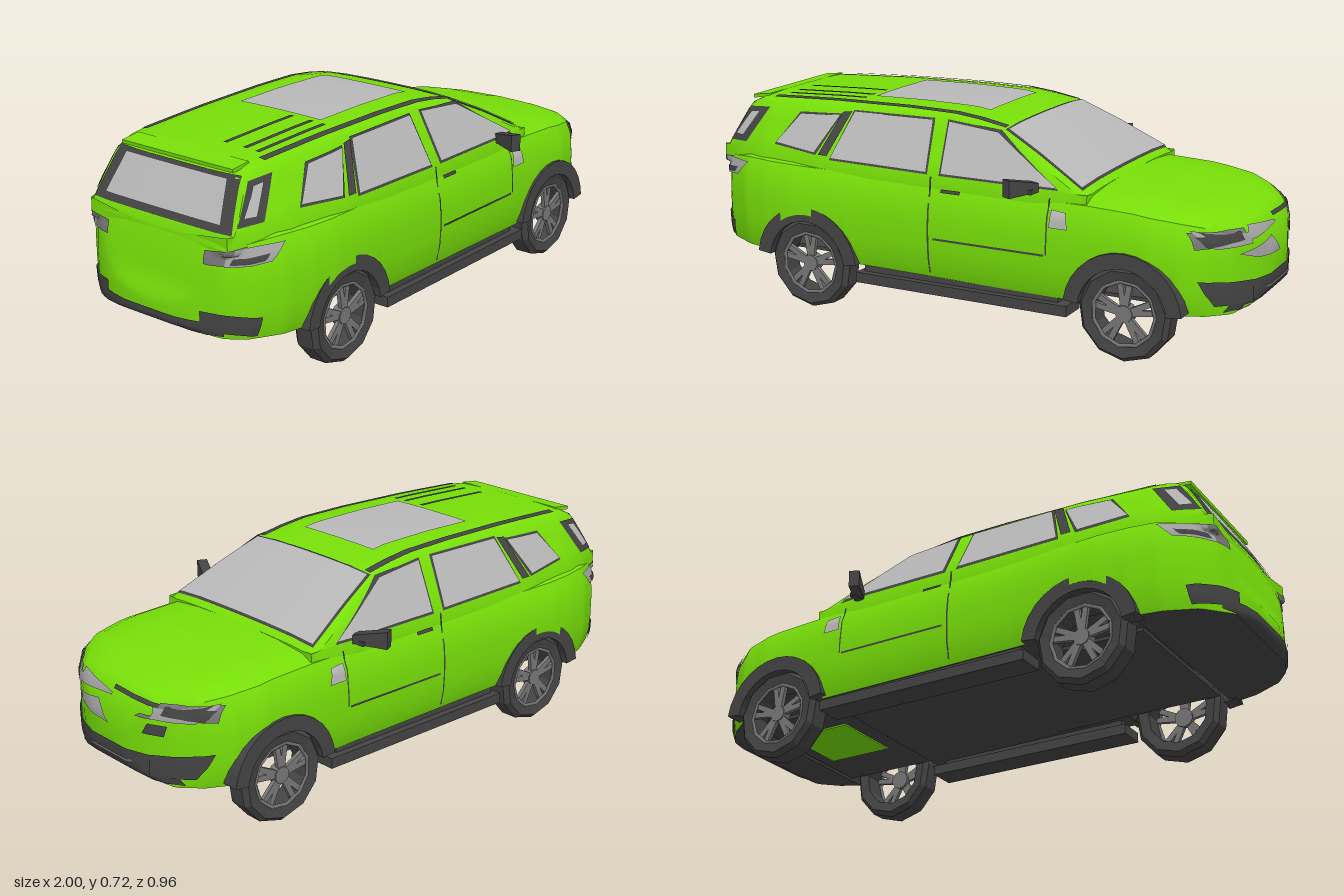
import * as THREE from 'three';
import { toCreasedNormals } from 'three/addons/utils/BufferGeometryUtils.js';

const mat = (name, color) => {
  const m = new THREE.MeshStandardMaterial({ color, side: THREE.DoubleSide });
  m.name = name;
  return m;
};

// Piecewise linear lookup in a list of [x, value]
function lookup(table, x) {
  if (x <= table[0][0]) return table[0][1];
  for (let i = 1; i < table.length; i++) {
    const [x0, v0] = table[i - 1], [x1, v1] = table[i];
    if (x <= x1) return v0 + (v1 - v0) * (x - x0) / (x1 - x0);
  }
  return table[table.length - 1][1];
}

const WHEELS = [-0.535, 0.63], AXLE = 0.163;
const WIDTH = [[-0.995, 0.1], [-0.98, 0.18], [-0.95, 0.265], [-0.9, 0.33], [-0.8, 0.382], [-0.7, 0.402], [-0.6, 0.41], [-0.3, 0.4],
  [0.4, 0.398], [0.7, 0.398], [0.8, 0.376], [0.87, 0.328], [0.93, 0.255], [0.97, 0.175], [0.995, 0.09]];
const TOP = [[-0.995, 0.29], [-0.975, 0.33], [-0.962, 0.45], [-0.945, 0.5], [-0.9, 0.525], [-0.8, 0.54], [0, 0.53], [0.5, 0.527],
  [0.65, 0.52], [0.8, 0.5], [0.88, 0.48], [0.95, 0.452], [0.975, 0.415], [0.995, 0.35]];
const BOTTOM = [[-0.995, 0.22], [-0.95, 0.195], [-0.8, 0.19], [-0.3, 0.185], [0.8, 0.175], [0.93, 0.168], [0.975, 0.19], [0.995, 0.23]];
const ROOF = [[-0.95, 0.5], [-0.845, 0.685], [-0.8, 0.703], [-0.5, 0.715], [-0.2, 0.721], [0, 0.718], [0.15, 0.695], [0.3, 0.625], [0.49, 0.525]];
const TAPER = [[-0.95, 0.76], [-0.85, 0.87], [-0.75, 0.94], [-0.5, 1], [0.3, 1], [0.49, 0.97]];

// Half sections as [z, y], from the top centre line down the side
function lowerSection(x) {
  const w = lookup(WIDTH, x), top = lookup(TOP, x), low = lookup(BOTTOM, x);
  let arch = 0;
  for (const c of WHEELS) {
    const d = Math.abs(x - c);
    if (d < 0.174) arch = AXLE + Math.sqrt(0.174 ** 2 - d * d);
  }
  return [[0, 1], [0.5, 0.985], [0.8, 0.95], [0.925, 0.89], [0.98, 0.76], [1, 0.52], [1, 0.3], [0.985, 0.12], [0.95, 0]]
    .map(([z, f]) => [z * w, Math.max(low + (top - low) * f, arch)]);
}
function cabinSection(x) {
  const top = lookup(ROOF, x), k = lookup(TAPER, x);
  const side = y => (0.375 - Math.max(y - 0.52, 0) * 0.5) * k;
  const edge = top - 0.022, z = side(edge);
  return [[0, top], [z * 0.45, top - 0.001], [z * 0.8, top - 0.005], [z * 0.95, top - 0.011],
    ...[0, 0.33, 0.67, 1].map(f => {
      const y = edge + (0.52 - edge) * f;
      return [side(y), y];
    }), [side(0.46), 0.46]];
}

// Lofted shell along x; its flat underside takes the second material
function loft(section, x0, x1, steps) {
  const pos = [], skin = [], floor = [];
  let n = 0;
  for (let i = -1; i <= steps + 1; i++) {
    const x = x0 + (x1 - x0) * Math.min(Math.max(i, 0), steps) / steps;
    const half = section(x);
    const ring = [...half, ...half.slice(1).reverse().map(([z, y]) => [-z, y])];
    n = ring.length;
    const cap = i < 0 || i > steps, mid = (half[0][1] + half[half.length - 1][1]) / 2;
    for (const [z, y] of ring) pos.push(x, cap ? mid : y, cap ? 0 : z);
  }
  for (let i = 0; i < steps + 2; i++) for (let j = 0; j < n; j++) {
    const a = i * n + j, b = i * n + (j + 1) % n;
    const under = j === (n - 1) / 2 && i > 0 && i <= steps;
    (under ? floor : skin).push(a, b, a + n, b, b + n, a + n);
  }
  const g = new THREE.BufferGeometry();
  g.setAttribute('position', new THREE.Float32BufferAttribute(pos, 3));
  g.setIndex([...skin, ...floor]);
  g.addGroup(0, skin.length, 0);
  g.addGroup(skin.length, floor.length, 1);
  return toCreasedNormals(g, 0.6);
}

export function createModel() {
  const car = new THREE.Group();
  const paint = mat('green paint', 0x77de08), glass = mat('grey glass', 0xb8b8b8);
  const trim = mat('dark trim', 0x444444), metal = mat('grey metal', 0x777777), lamp = mat('lamp lens', 0xa4a4a4);
  const add = (name, geo, m, parent = car) => {
    const mesh = new THREE.Mesh(geo, m);
    mesh.name = name;
    parent.add(mesh);
    return mesh;
  };
  const box = (name, m, size, at, parent) => {
    const b = add(name, new THREE.BoxGeometry(...size), m, parent);
    b.position.set(...at);
    return b;
  };

  const shells = [
    add('lowerBody', loft(lowerSection, -0.995, 0.995, 160), [paint, trim]),
    add('cabin', loft(cabinSection, -0.95, 0.49, 72), [paint, trim]),
  ];
  car.updateMatrixWorld(true);

  // Thin plate with four corners, laid onto the shell along an axis
  const ray = new THREE.Raycaster();
  function plate(name, m, axis, sign, corners, lift = 0.005) {
    const geo = new THREE.PlaneGeometry(1, 1, 10, 6), p = geo.attributes.position;
    const [a, b, c, d] = corners;
    let last = null;
    for (let i = 0; i < p.count; i++) {
      const u = p.getX(i) + 0.5, v = p.getY(i) + 0.5;
      const [s, t] = [0, 1].map(k => (a[k] * (1 - u) + b[k] * u) * (1 - v) + (d[k] * (1 - u) + c[k] * u) * v);
      const from = axis === 'z' ? [s, t, 3 * sign] : axis === 'x' ? [3 * sign, t, s] : [s, 3 * sign, t];
      const dir = new THREE.Vector3();
      dir[axis] = -sign;
      ray.set(new THREE.Vector3(...from), dir);
      const hit = ray.intersectObjects(shells)[0];
      if (hit) last = hit.point.clone().addScaledVector(hit.face.normal, lift);
      if (last) p.setXYZ(i, last.x, last.y, last.z);
    }
    geo.computeVertexNormals();
    // Keep the face pointing outwards
    if (geo.attributes.normal[{ x: 'getX', y: 'getY', z: 'getZ' }[axis]](38) * sign < 0) {
      const idx = geo.index.array;
      for (let i = 0; i < idx.length; i += 3) [idx[i], idx[i + 1]] = [idx[i + 1], idx[i]];
      geo.computeVertexNormals();
    }
    add(name, geo, m);
  }
  const rect = (x0, y0, x1, y1) => [[x0, y0], [x1, y0], [x1, y1], [x0, y1]];
  // Glass plate over a slightly larger dark seal
  function pane(name, axis, sign, corners) {
    const mid = [0, 1].map(k => corners.reduce((sum, c) => sum + c[k] / 4, 0));
    const wide = corners.map(c => c.map((v, k) => v + 0.006 * Math.sign(v - mid[k])));
    plate(name + 'Seal', trim, axis, sign, wide, 0.003);
    plate(name, glass, axis, sign, corners, 0.007);
  }

  // Windscreen, rear window and roof
  pane('windscreen', 'y', 1, [[0.17, -0.275], [0.46, -0.34], [0.46, 0.34], [0.17, 0.275]]);
  plate('rearWindowFrame', trim, 'x', -1, [[-0.285, 0.52], [0.285, 0.52], [0.25, 0.672], [-0.25, 0.672]], 0.003);
  plate('rearWindow', glass, 'x', -1, [[-0.24, 0.54], [0.24, 0.54], [0.21, 0.66], [-0.21, 0.66]], 0.007);
  plate('sunroof', glass, 'y', 1, rect(-0.39, -0.17, 0.05, 0.17));
  for (const z of [0.07, 0.15, 0.2]) plate('roofGroove', trim, 'y', 1, rect(-0.72, z - 0.008, -0.41, z + 0.008));
  box('spoiler', paint, [0.07, 0.012, 0.46], [-0.825, 0.692, 0]).rotation.z = 0.12;

  // Front and rear faces
  plate('upperGrille', lamp, 'x', 1, [[0, 0.41], [0.2, 0.395], [0.18, 0.44], [0, 0.418]]);
  plate('upperGrille', trim, 'x', 1, [[-0.2, 0.42], [0, 0.428], [0, 0.44], [-0.2, 0.432]]);
  plate('lowerGrille', lamp, 'x', 1, [[0, 0.325], [0.15, 0.335], [0.23, 0.36], [0.06, 0.385]]);
  plate('lowerGrille', trim, 'x', 1, [[-0.22, 0.335], [-0.15, 0.335], [-0.17, 0.37], [-0.23, 0.37]]);
  plate('grilleBlade', metal, 'x', 1, [[-0.2, 0.385], [-0.12, 0.382], [-0.14, 0.395], [-0.2, 0.398]]);
  plate('lowerBumper', trim, 'x', 1, [[-0.27, 0.18], [0.27, 0.18], [0.22, 0.268], [-0.22, 0.268]]);
  plate('bumperSlot', metal, 'x', 1, rect(-0.11, 0.228, 0.11, 0.236), 0.008);
  plate('rearBumper', trim, 'x', -1, rect(-0.26, 0.205, 0.26, 0.245));

  // Flat floor with a painted opening between the front wheels
  box('floorPan', trim, [1.5, 0.012, 0.58], [0.05, 0.187, 0]);
  box('frontFloorPanel', paint, [0.24, 0.006, 0.26], [0.63, 0.179, -0.03]);

  for (const s of [1, -1]) {
    // Side glass and pillars
    pane('frontWindow', 'z', s, [[-0.025, 0.53], [0.39, 0.53], [0.15, 0.672], [-0.035, 0.688]]);
    pane('rearWindowSide', 'z', s, [[-0.45, 0.535], [-0.08, 0.53], [-0.095, 0.688], [-0.395, 0.685]]);
    pane('quarterWindow', 'z', s, [[-0.69, 0.56], [-0.52, 0.545], [-0.45, 0.67], [-0.61, 0.66]]);
    plate('rearPillar', trim, 'z', s, [[-0.5, 0.54], [-0.465, 0.54], [-0.405, 0.685], [-0.44, 0.68]], 0.008);
    plate('tailgateGlassFrame', trim, 'z', s, [[-0.915, 0.54], [-0.83, 0.545], [-0.75, 0.668], [-0.84, 0.66]], 0.003);
    plate('tailgateGlassSide', glass, 'z', s, [[-0.89, 0.562], [-0.85, 0.562], [-0.79, 0.65], [-0.83, 0.645]], 0.007);
    // Door seams, fender vent and handles
    plate('doorSeam', trim, 'z', s, rect(-0.062, 0.2, -0.056, 0.52), 0.003);
    plate('doorSeam', trim, 'z', s, rect(0.365, 0.32, 0.37, 0.5), 0.003);
    plate('doorCrease', trim, 'z', s, rect(-0.04, 0.315, 0.36, 0.322), 0.003);
    plate('fenderVent', glass, 'z', s, [[0.375, 0.41], [0.44, 0.41], [0.43, 0.46], [0.38, 0.465]]);
    plate('doorHandle', trim, 'z', s, rect(-0.02, 0.47, 0.05, 0.483));
    // Lamps and bumper corners
    plate('headlamp', metal, 'x', 1, [[s * 0.2, 0.4], [s * 0.345, 0.388], [s * 0.35, 0.44], [s * 0.2, 0.435]]);
    plate('headlampInner', trim, 'x', 1, [[s * 0.21, 0.402], [s * 0.32, 0.392], [s * 0.34, 0.425], [s * 0.22, 0.428]], 0.008);
    plate('headlampSide', lamp, 'z', s, [[0.89, 0.385], [0.965, 0.385], [0.955, 0.42], [0.82, 0.445]], 0.006);
    plate('headlampSideCore', trim, 'z', s, [[0.89, 0.41], [0.94, 0.405], [0.94, 0.42], [0.84, 0.44]], 0.009);
    plate('bumperCorner', trim, 'x', 1, [[s * 0.22, 0.2], [s * 0.29, 0.215], [s * 0.34, 0.288], [s * 0.2, 0.268]], 0.006);
    plate('bumperCornerSide', trim, 'z', s, [[0.89, 0.205], [0.97, 0.2], [0.97, 0.27], [0.85, 0.29]], 0.006);
    plate('tailLamp', metal, 'x', -1, [[s * 0.2, 0.425], [s * 0.33, 0.43], [s * 0.31, 0.485], [s * 0.2, 0.465]]);
    plate('tailLampSide', lamp, 'z', s, [[-0.945, 0.425], [-0.84, 0.435], [-0.79, 0.485], [-0.93, 0.48]], 0.007);
    plate('tailLampCore', trim, 'z', s, [[-0.935, 0.432], [-0.86, 0.44], [-0.84, 0.458], [-0.925, 0.45]], 0.009);
    plate('rearBumperCorner', trim, 'z', s, [[-0.975, 0.22], [-0.88, 0.205], [-0.87, 0.265], [-0.975, 0.28]], 0.006);

    // Roof rail, running board and mirror
    plate('roofRail', trim, 'y', 1, [[-0.75, s * 0.232], [0.16, s * 0.25], [0.16, s * 0.276], [-0.75, s * 0.256]], 0.005);
    box('runningBoard', trim, [0.78, 0.035, 0.1], [0.05, 0.145, s * 0.35]);
    box('sill', trim, [0.72, 0.04, 0.06], [0.04, 0.18, s * 0.345]);
    box('mirrorArm', trim, [0.025, 0.015, 0.06], [0.31, 0.52, s * 0.385]);
    const head = box('mirrorHead', trim, [0.035, 0.058, 0.115], [0.29, 0.54, s * 0.422]);
    head.rotation.y = -s * 0.45;
    const hp = head.geometry.attributes.position;
    for (let i = 0; i < hp.count; i++) if (hp.getZ(i) * s < 0) hp.setY(i, hp.getY(i) * 0.5 - 0.01);
    head.geometry.computeVertexNormals();

    for (const x of WHEELS) {
      // Wheel arch cladding
      const arc = new THREE.Shape();
      arc.absarc(0, 0, 0.2, 0.12, Math.PI - 0.12, false);
      arc.absarc(0, 0, 0.15, Math.PI - 0.12, 0.12, true);
      const arch = add('archCladding', new THREE.ExtrudeGeometry(arc, { depth: 0.06, bevelEnabled: false, curveSegments: 7 }), trim);
      arch.position.set(x, AXLE, s > 0 ? 0.347 : -0.407);

      // Open wheel: faceted tyre, rim ring, spokes and hub
      const wheel = new THREE.Group();
      wheel.name = 'wheel';
      wheel.position.set(x, AXLE, s * 0.345);
      car.add(wheel);
      const tyre = [[0.108, -0.04], [0.143, -0.047], [0.158, -0.03], [0.158, 0.03], [0.143, 0.047], [0.108, 0.04], [0.108, -0.04]];
      const tg = new THREE.LatheGeometry(tyre.map(q => new THREE.Vector2(...q)), 11).toNonIndexed();
      tg.computeVertexNormals();
      add('tyre', tg, trim, wheel).rotation.x = Math.PI / 2;
      const rim = add('rim', new THREE.TorusGeometry(0.106, 0.007, 4, 11), metal, wheel);
      rim.position.z = s * 0.038;
      const hub = add('hub', new THREE.CylinderGeometry(0.028, 0.034, 0.03, 10), metal, wheel);
      hub.rotation.x = s * Math.PI / 2;
      hub.position.z = s * 0.025;
      for (let k = 0; k < 5; k++) for (const t of [-0.16, 0.16]) {
        const a = Math.PI / 2 + k * Math.PI * 0.4 + t;
        const spoke = box('spoke', metal, [0.09, 0.019, 0.014], [Math.cos(a) * 0.062, Math.sin(a) * 0.062, s * 0.03], wheel);
        spoke.rotation.z = a;
      }
    }
  }
  return car;
}
